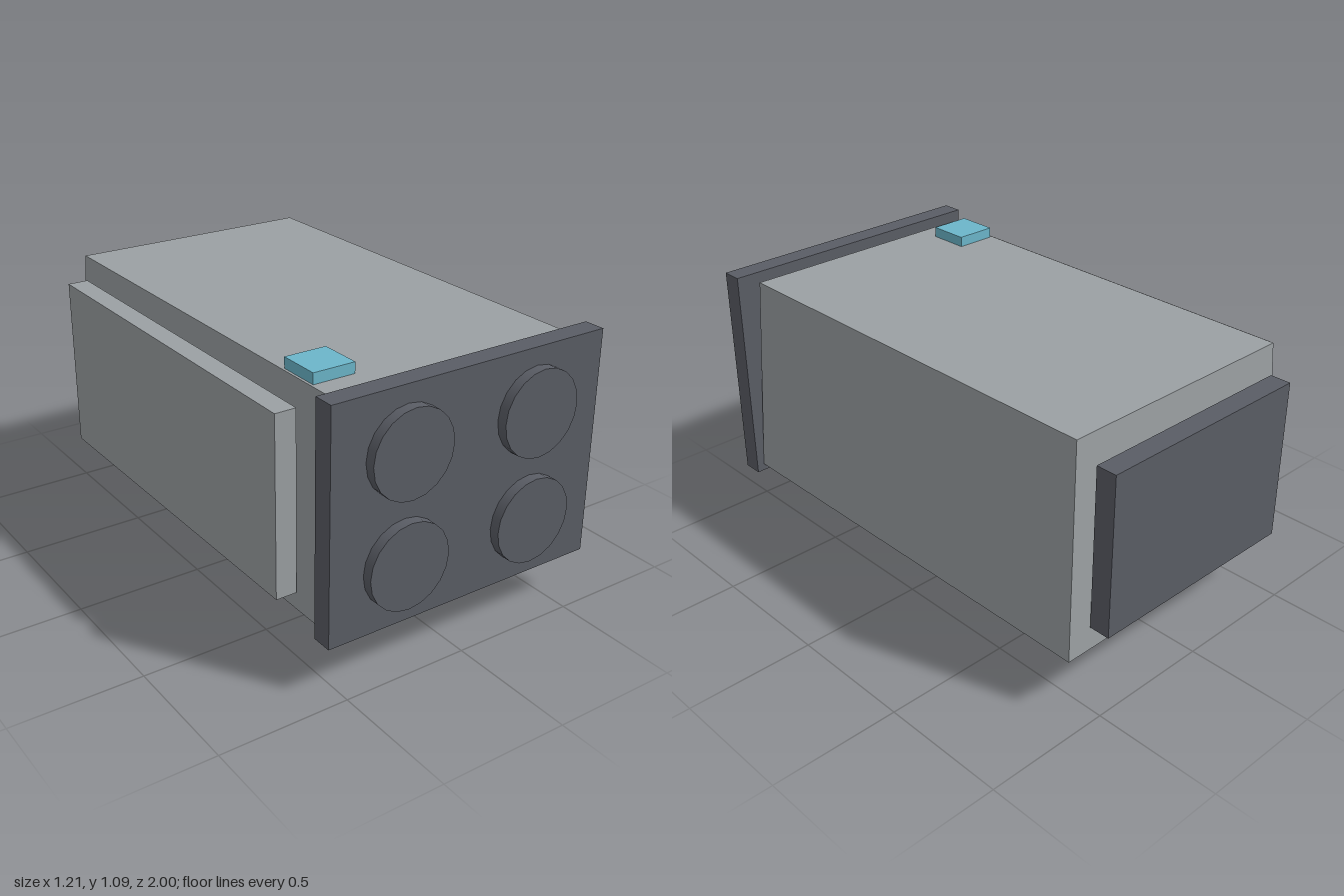
import * as THREE from 'three';

const flat = (name, color) => {
  const material = new THREE.MeshStandardMaterial({ color });
  material.name = name;
  return material;
};

export function createModel() {
  const model = new THREE.Group();
  model.name = 'boxUnit';
  const lightGrey = flat('lightGrey', 0x9ba0a3);
  const darkGrey = flat('darkGrey', 0x5a5d65);
  const blue = flat('blue', 0x6cb6ca);

  // Box given by its extents on each axis
  function block(name, material, [x0, x1], [y0, y1], [z0, z1]) {
    const geometry = new THREE.BoxGeometry(x1 - x0, y1 - y0, z1 - z0);
    geometry.translate((x0 + x1) / 2, (y0 + y1) / 2, (z0 + z1) / 2);
    const mesh = new THREE.Mesh(geometry, material);
    mesh.name = name;
    model.add(mesh);
    return mesh;
  }

  // Body, its walls leaning inwards towards the top
  const body = block('body', lightGrey, [-0.525, 0.575], [0.225, 1.05], [-0.917, 0.877]);
  const points = body.geometry.attributes.position;
  for (let i = 0; i < points.count; i++) {
    if (points.getY(i) < 0.6) continue;
    points.setX(i, points.getX(i) - Math.sign(points.getX(i)) * 0.045);
    points.setZ(i, points.getZ(i) - Math.sign(points.getZ(i)) * 0.037);
  }
  body.geometry.computeVertexNormals();

  // Plates around the body
  block('frontPlate', darkGrey, [-0.55, 0.605], [0.195, 1.077], [0.878, 0.96]);
  block('backPanel', darkGrey, [-0.43, 0.476], [0.32, 0.953], [-1, -0.918]);
  block('sidePanel', lightGrey, [-0.608, -0.526], [0.292, 0.98], [-0.78, 0.737]);

  // Foot and top button
  block('foot', darkGrey, [-0.042, 0.37], [0, 0.225], [-0.498, 0.19]);
  block('topButton', blue, [-0.47, -0.305], [1.05, 1.091], [0.585, 0.75]);

  // Four round discs through the front plate
  const disc = new THREE.CylinderGeometry(0.165, 0.165, 0.136, 20).rotateX(Math.PI / 2);
  for (const x of [-0.249, 0.302]) {
    for (const y of [0.43, 0.844]) {
      const mesh = new THREE.Mesh(disc, darkGrey);
      mesh.name = 'frontDisc';
      mesh.position.set(x, y, 0.932);
      model.add(mesh);
    }
  }
  return model;
}
